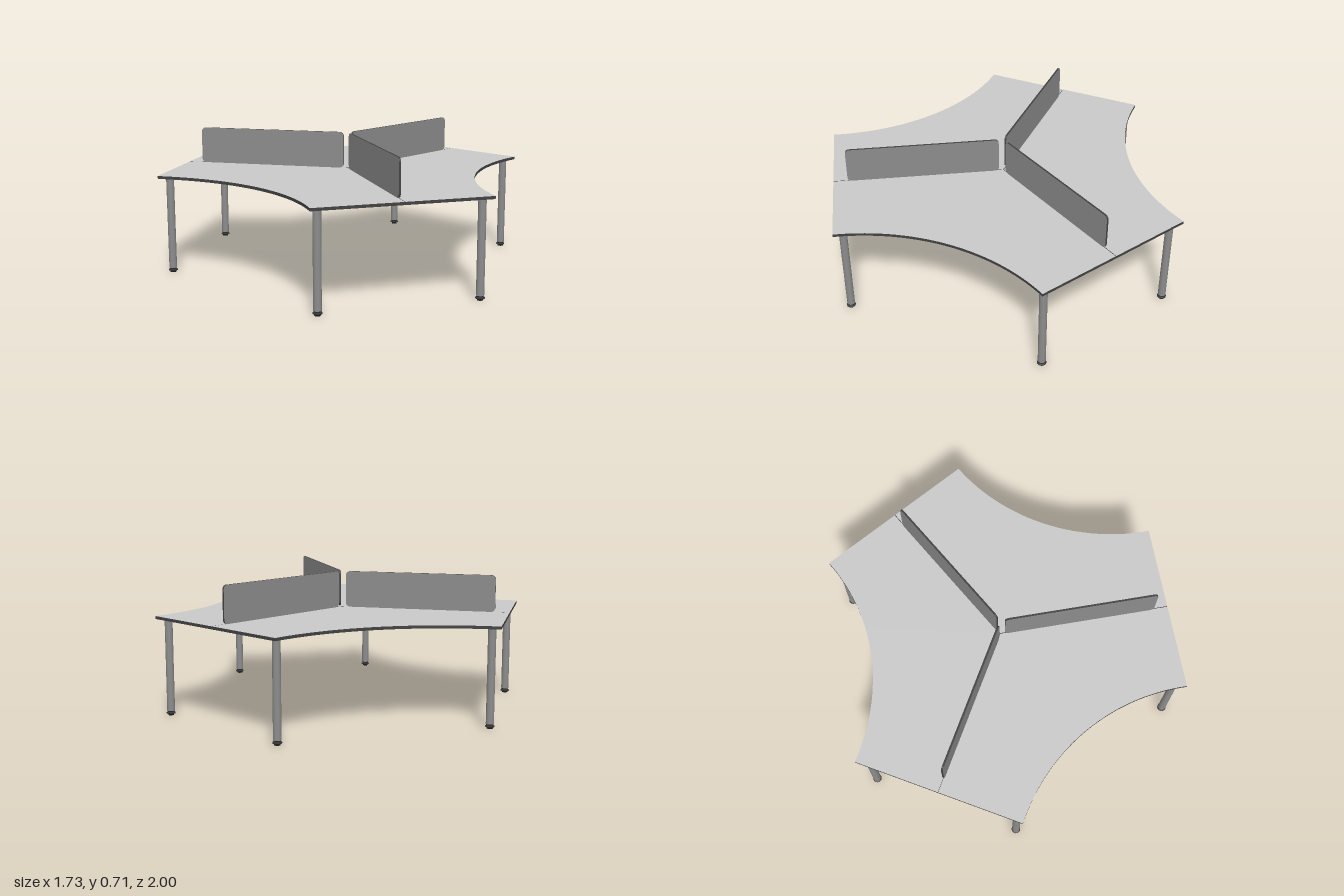
import * as THREE from 'three';

const material = (name, color) => {
  const m = new THREE.MeshStandardMaterial({ color });
  m.name = name;
  return m;
};

export function createModel() {
  const lightTop = material('light grey worktop', 0xcacaca);
  const darkEdge = material('dark edge band', 0x424242);
  const screenGrey = material('screen grey', 0x8c8c8c);
  const legGrey = material('leg grey', 0x8c8c8c);
  const footBlack = material('foot black', 0x333333);

  const reach = 0.895, halfWidth = 0.447; // arm length and half width of its end
  const topY = 0.515, thick = 0.015, gap = 0.0015;
  const mid = Math.PI / 3; // direction halfway between two arms

  // One worktop: the sector between two arms, with a concave user edge
  const along = reach * Math.cos(mid) + halfWidth * Math.sin(mid);
  const across = reach * Math.sin(mid) - halfWidth * Math.cos(mid);
  const sag = along - 0.68;
  const radius = (across * across + sag * sag) / (2 * sag);
  const centre = 0.68 + radius;
  const sweep = Math.asin(across / radius);
  const top = new THREE.Shape();
  top.moveTo(gap / Math.tan(mid), gap);
  top.lineTo(reach, gap);
  top.lineTo(reach, halfWidth);
  top.absarc(centre * Math.cos(mid), centre * Math.sin(mid), radius,
    mid + Math.PI + sweep, mid + Math.PI - sweep, true);
  top.lineTo(-reach * 0.5 + gap * Math.cos(mid / 2), reach * Math.sin(mid) + gap * Math.sin(mid / 2));
  top.closePath();
  const topGeo = new THREE.ExtrudeGeometry(top, { depth: thick, bevelEnabled: false, curveSegments: 40 });
  topGeo.rotateX(Math.PI / 2).translate(0, topY, 0);

  // Divider screen with rounded corners
  const x0 = 0.025, x1 = 0.82, y0 = topY, y1 = 0.706, r = 0.022;
  const panel = new THREE.Shape();
  panel.moveTo(x0 + r, y0);
  panel.absarc(x1 - r, y0 + r, r, -Math.PI / 2, 0, false);
  panel.absarc(x1 - r, y1 - r, r, 0, Math.PI / 2, false);
  panel.absarc(x0 + r, y1 - r, r, Math.PI / 2, Math.PI, false);
  panel.absarc(x0 + r, y0 + r, r, Math.PI, Math.PI * 1.5, false);
  const panelGeo = new THREE.ExtrudeGeometry(panel, { depth: 0.01, bevelEnabled: false, curveSegments: 8 });
  panelGeo.translate(0, 0, -0.005);

  // Round leg and its levelling foot
  const legGeo = new THREE.CylinderGeometry(0.02, 0.02, 0.476, 24).translate(0, 0.262, 0);
  const footGeo = new THREE.LatheGeometry([
    [0, 0], [0.015, 0], [0.015, 0.006], [0.023, 0.009], [0.023, 0.014],
    [0.011, 0.016], [0.011, 0.019], [0.018, 0.02], [0.018, 0.025],
  ].map(([x, y]) => new THREE.Vector2(x, y)), 24);

  const model = new THREE.Group();
  model.name = 'threePersonDesk';

  for (let i = 0; i < 3; i++) {
    const arm = new THREE.Group();
    arm.name = `workstation${i + 1}`;
    arm.position.x = -0.03;
    arm.rotation.y = i * Math.PI * 2 / 3;

    const add = (name, geometry, mat, x = 0, z = 0) => {
      const mesh = new THREE.Mesh(geometry, mat);
      mesh.name = name;
      mesh.position.set(x, 0, z);
      arm.add(mesh);
    };
    add('worktop', topGeo, [lightTop, darkEdge]);
    add('dividerScreen', panelGeo, [screenGrey, darkEdge]);
    for (const side of [-1, 1]) {
      add('leg', legGeo, legGrey, 0.847, side * 0.402);
      add('foot', footGeo, footBlack, 0.847, side * 0.402);
    }
    model.add(arm);
  }
  return model;
}
